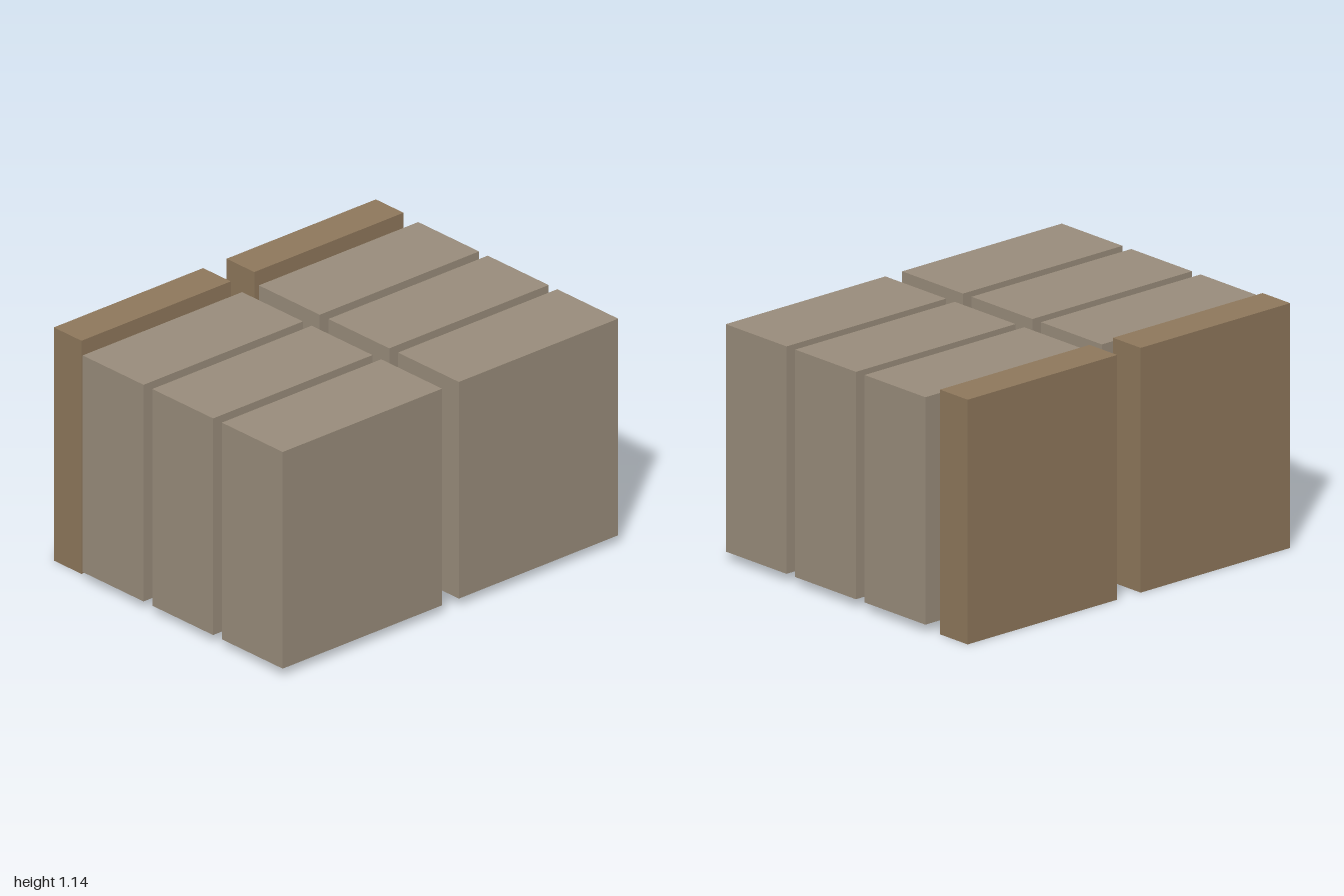
import * as THREE from 'three';

export function createModel() {
  const group = new THREE.Group();
  const stone = new THREE.MeshStandardMaterial({ color: 0x9a8d7c });
  const wood = new THREE.MeshStandardMaterial({ color: 0x8f785c });

  // Block given by its size and centre
  const addBlock = (name, material, [w, h, d], [x, y, z]) => {
    const mesh = new THREE.Mesh(new THREE.BoxGeometry(w, h, d), material);
    mesh.name = name;
    mesh.position.set(x, y, z);
    group.add(mesh);
  };

  for (const [side, s] of [['left', 1], ['right', -1]]) {
    // Three thick blocks, front to back, raised slightly off the ground
    ['Front', 'Middle', 'Rear'].forEach((row, i) => {
      addBlock(`${side}${row}Block`, stone, [0.95, 1.064, 0.4], [s * 0.525, 0.573, 0.574 - i * 0.457]);
    });
    // Thin, taller panel behind them
    addBlock(`${side}BackPanel`, wood, [0.89, 1.145, 0.182], [s * 0.515, 0.5725, -0.683]);
  }
  return group;
}
